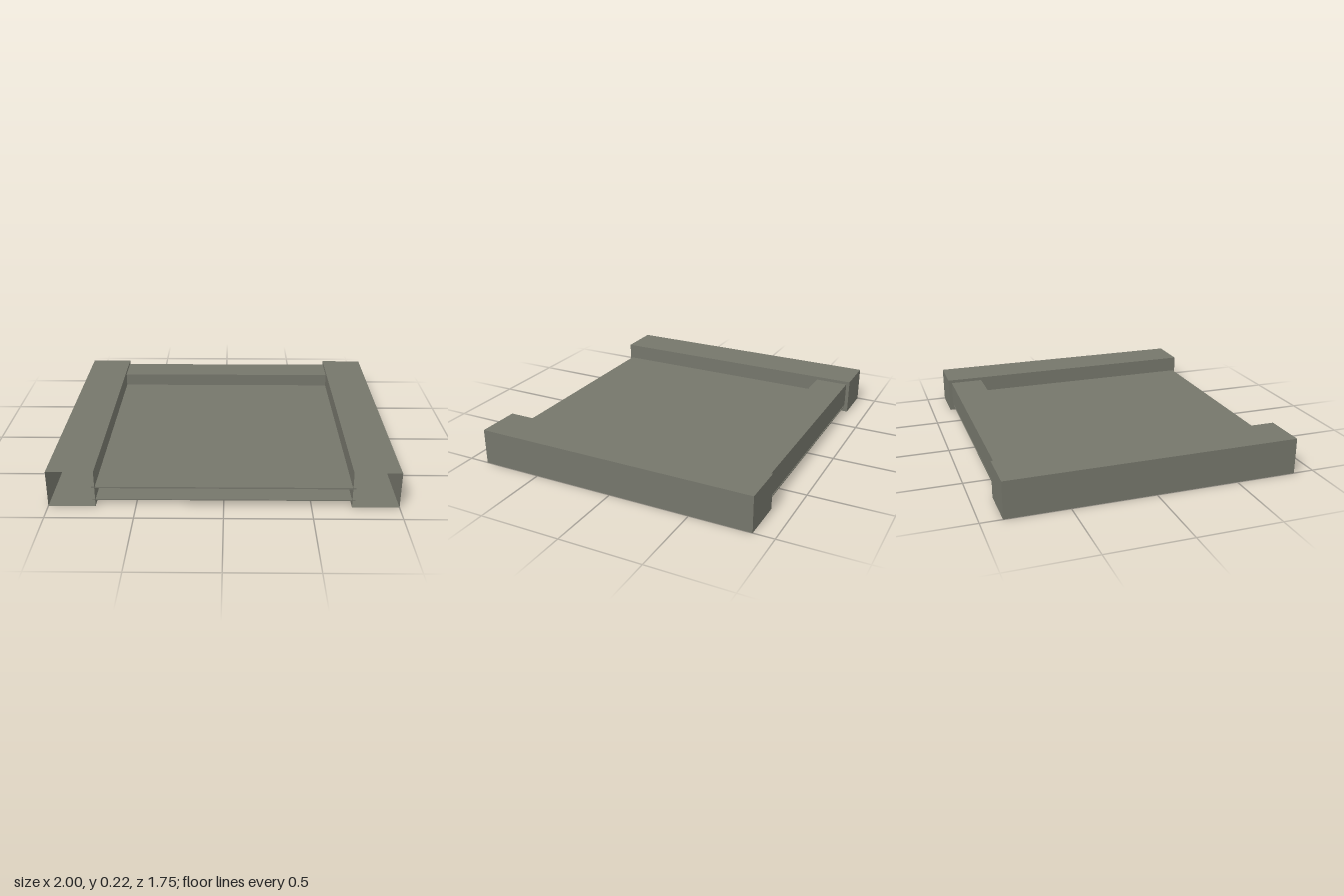
import * as THREE from 'three';

export function createModel() {
  const model = new THREE.Group();
  const greyMetal = new THREE.MeshStandardMaterial({ color: 0x75766b, side: THREE.DoubleSide });
  greyMetal.name = 'greyMetal';

  const add = (name, geometry, x, y, z) => {
    const mesh = new THREE.Mesh(geometry, greyMetal);
    mesh.name = name;
    mesh.position.set(x, y, z);
    model.add(mesh);
    return mesh;
  };

  // Hollow sheet rail: a box without its front face
  const railGeometry = () => {
    const geometry = new THREE.BoxGeometry(0.27, 0.22, 1.748);
    const index = Array.from(geometry.index.array);
    index.splice(24, 6);
    geometry.setIndex(index);
    geometry.clearGroups();
    return geometry;
  };
  add('leftRail', railGeometry(), 0.865, 0.11, 0);
  add('rightRail', railGeometry(), -0.865, 0.11, 0);

  // Two thin sheets whose edges slot into the rails
  add('upperPanel', new THREE.BoxGeometry(1.5, 0.009, 1.71), 0, 0.114, 0.005);
  add('lowerPanel', new THREE.BoxGeometry(1.5, 0.006, 1.71), 0, 0.036, 0.005);

  // Rear cross bar with a slightly skewed left end
  const section = new THREE.Shape([
    new THREE.Vector2(-0.75, 0.05),
    new THREE.Vector2(0.746, 0.05),
    new THREE.Vector2(0.756, 0.2),
    new THREE.Vector2(-0.75, 0.2),
  ]);
  add('rearCrossBar', new THREE.ExtrudeGeometry(section, { depth: 0.21, bevelEnabled: false }), 0, 0, -0.852);

  return model;
}
